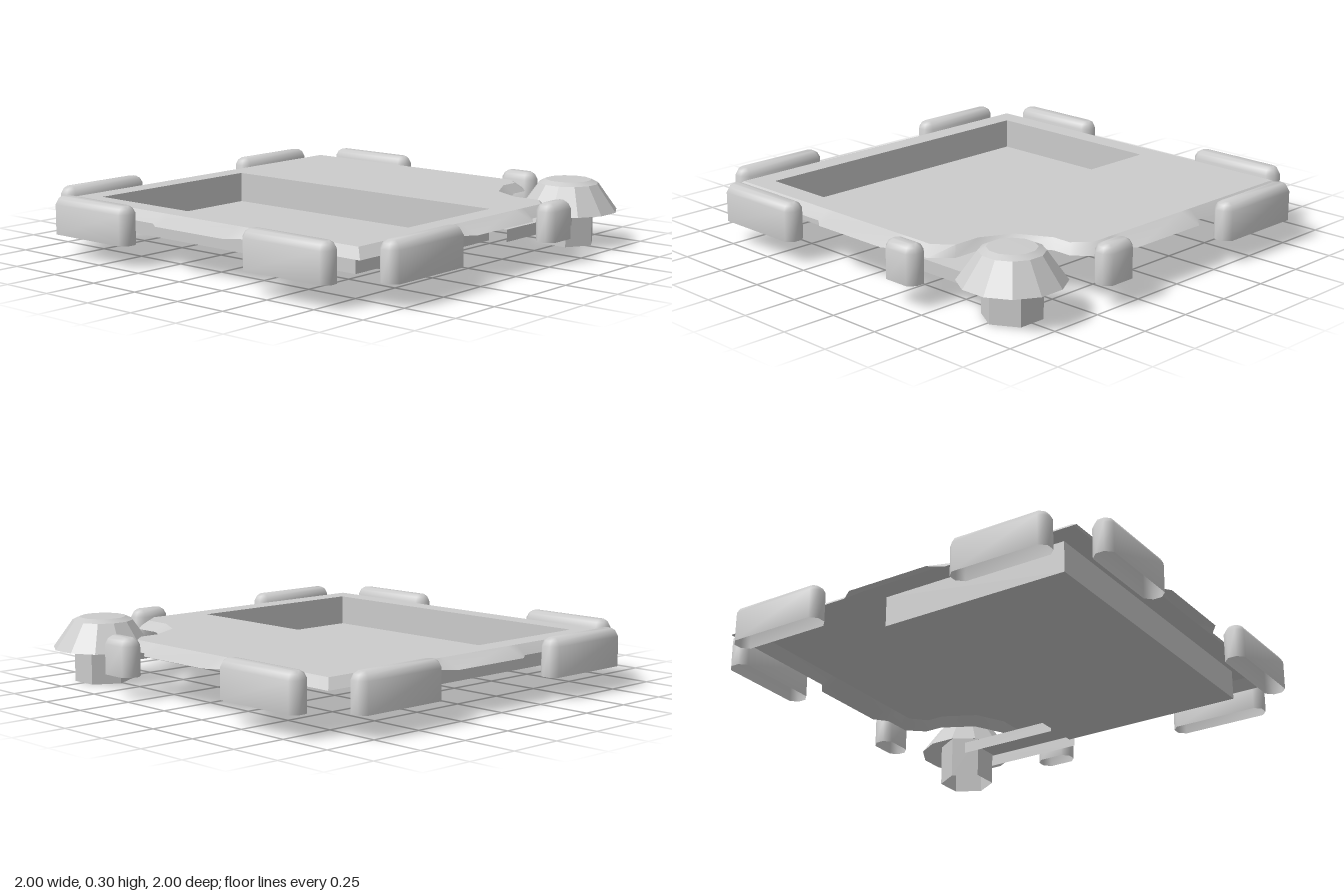
import * as THREE from 'three';
import { toCreasedNormals } from 'three/addons/utils/BufferGeometryUtils.js';

const material = new THREE.MeshStandardMaterial({ color: 0xcccccc, side: THREE.DoubleSide });

function add(parent, name, geometry) {
  const mesh = new THREE.Mesh(geometry, material);
  mesh.name = name;
  parent.add(mesh);
  return mesh;
}

// Skin between rings of [x, y, z] points; optionally close the last ring with a fan.
function loft(rings, capped, crease = 0.6) {
  const n = rings[0].length;
  const positions = rings.flat(2);
  const index = [];
  for (let r = 0; r < rings.length - 1; r++) {
    for (let i = 0; i < n; i++) {
      const a = r * n + i, b = r * n + (i + 1) % n;
      index.push(a, b, b + n, a, b + n, a + n);
    }
  }
  if (capped) {
    const s = (rings.length - 1) * n;
    for (let i = 1; i < n - 1; i++) index.push(s, s + i, s + i + 1);
  }
  const geometry = new THREE.BufferGeometry();
  geometry.setAttribute('position', new THREE.Float32BufferAttribute(positions, 3));
  geometry.setIndex(index);
  return toCreasedNormals(geometry, crease);
}

// Hollow bumper along x, with clipped ends and a rounded top.
function bumperGeometry(half) {
  const ring = ([y, inset]) => {
    const l = half - inset, w = 0.05 - inset, c = w * 0.6;
    return [
      [l, y, w - c], [l, y, c - w], [l - c, y, -w], [c - l, y, -w],
      [-l, y, c - w], [-l, y, w - c], [c - l, y, w], [l - c, y, w],
    ];
  };
  return loft([[0.1, 0], [0.235, 0], [0.258, 0.012], [0.27, 0.03]].map(ring), true, 0.9);
}

export function createModel() {
  const model = new THREE.Group();
  model.name = 'floatingPlatform';

  // Outline [x, z], counter-clockwise from above: sides with bulges, then the corner notch.
  const sides = [
    [0.4, -0.9], [0.26, -0.9], [0.2, -0.95], [-0.2, -0.95], [-0.26, -0.9], [-0.9, -0.9],
    [-0.9, -0.26], [-0.945, -0.2], [-0.945, 0.2], [-0.9, 0.26], [-0.9, 0.9],
    [-0.26, 0.9], [-0.2, 0.945], [0.2, 0.945], [0.26, 0.9], [0.9, 0.9],
    [0.9, 0.26], [0.945, 0.2], [0.945, -0.2], [0.9, -0.26], [0.9, -0.43],
  ];
  const notch = [[0.82, -0.51], [0.69, -0.51], [0.55, -0.58], [0.47, -0.73], [0.47, -0.82]];
  const outline = [...sides, ...notch];
  const clamp = (v) => THREE.MathUtils.clamp(v, -0.85, 0.85);
  const inner = outline.map(([x, z], i) => {
    const corner = i === 0 || i >= sides.length - 1;
    return corner ? [clamp(x - 0.035), clamp(z + 0.035)] : [clamp(x), clamp(z)];
  });

  // Sloping rim around the deck
  add(model, 'rim', loft([
    outline.map(([x, z]) => [x, 0.2, z]),
    inner.map(([x, z]) => [x, 0.24, z]),
  ], false));

  // Deck with the basin opening
  const basin = [[0.75, 0.75], [0.75, -0.15], [-0.75, -0.15], [-0.75, 0.75]];
  const toShape = ([x, z]) => new THREE.Vector2(x, -z);
  const deck = new THREE.Shape(inner.map(toShape));
  deck.holes.push(new THREE.Path(basin.map(toShape)));
  add(model, 'deck', new THREE.ShapeGeometry(deck).rotateX(-Math.PI / 2)).position.y = 0.24;

  // Sunken basin
  add(model, 'basin', loft([0.24, 0.1].map((y) => basin.map(([x, z]) => [x, y, z])), true));

  // Bumpers: [x, z, half length, runs along z]
  const bumpers = [
    [-0.575, -0.95, 0.235, false], [0.35, -0.95, 0.09, false],
    [-0.575, 0.95, 0.235, false], [0.575, 0.95, 0.235, false],
    [-0.95, -0.575, 0.235, true], [-0.95, 0.575, 0.235, true],
    [0.95, -0.35, 0.09, true], [0.95, 0.575, 0.235, true],
  ];
  for (const [x, z, half, turned] of bumpers) {
    const bumper = add(model, 'bumper', bumperGeometry(half));
    bumper.position.set(x, 0, z);
    if (turned) bumper.rotation.y = Math.PI / 2;
  }

  // Corner bollard: hexagonal post under a twelve-sided cap
  const bollard = new THREE.Group();
  bollard.name = 'bollard';
  bollard.position.set(0.75, 0, -0.765);
  model.add(bollard);
  const post = new THREE.CylinderGeometry(0.13, 0.13, 0.2, 6, 1, true);
  add(bollard, 'post', toCreasedNormals(post.rotateY(Math.PI / 6).translate(0, 0.1, 0), 0.6));
  const profile = [[0.228, 0.155], [0.138, 0.28], [0.105, 0.296], [0, 0.297]];
  const cap = new THREE.LatheGeometry(profile.map(([r, y]) => new THREE.Vector2(r, y)), 12);
  add(bollard, 'cap', toCreasedNormals(cap.rotateY(Math.PI / 12), 0.4));

  // Channel-shaped arm carrying the bollard
  const arm = new THREE.Group();
  arm.name = 'arm';
  arm.position.set(0.72, 0, -0.425);
  model.add(arm);
  add(arm, 'armTop', new THREE.PlaneGeometry(0.22, 0.51).rotateX(-Math.PI / 2)).position.y = 0.155;
  for (const s of [-1, 1]) {
    const wall = new THREE.PlaneGeometry(0.51, 0.055).rotateY(s * Math.PI / 2);
    add(arm, 'armWall', wall).position.set(s * 0.11, 0.1275, 0);
  }
  return model;
}
